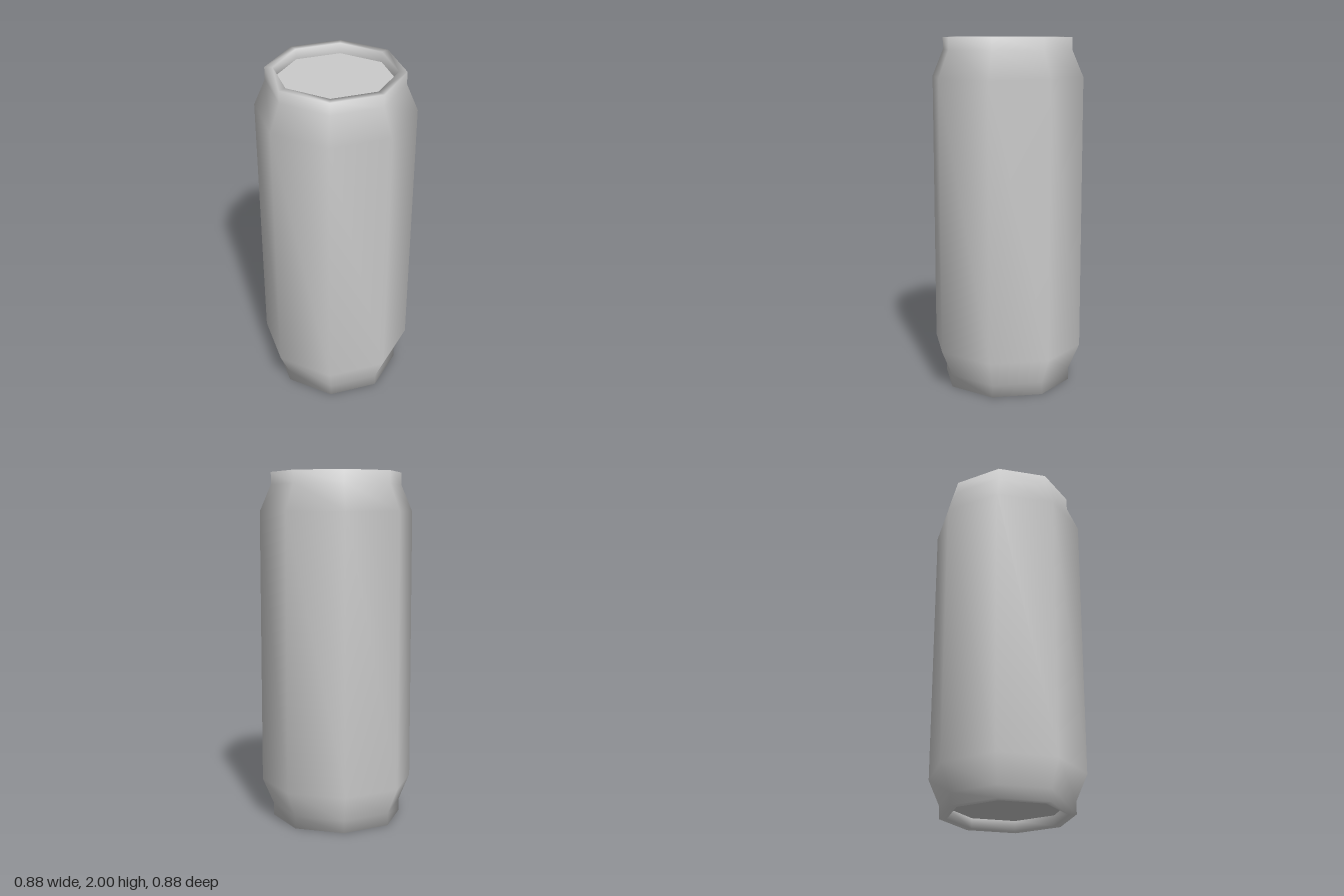
import * as THREE from 'three';
import { mergeVertices } from 'three/addons/utils/BufferGeometryUtils.js';

const SIDES = 8;
const HEIGHT = 2;
const RIM_INNER = 0.33;
const RECESS = 0.06;

export function createModel() {
  const group = new THREE.Group();
  group.name = 'can';
  const material = new THREE.MeshStandardMaterial({ color: 0xcccccc });

  // Lower half of the profile: recess wall, flat rim, neck, shoulder
  const lower = [
    [RIM_INNER, RECESS],
    [RIM_INNER, 0],
    [0.374, 0],
    [0.374, 0.07],
    [0.438, 0.22],
  ];
  const upper = lower.map(([r, y]) => [r, HEIGHT - y]).reverse();
  const profile = [...lower, ...upper].map(([r, y]) => new THREE.Vector2(r, y));

  // Weld the lathe seam so the normals are smooth all the way round
  let bodyGeometry = new THREE.LatheGeometry(profile, SIDES);
  bodyGeometry.deleteAttribute('normal');
  bodyGeometry.deleteAttribute('uv');
  bodyGeometry = mergeVertices(bodyGeometry, 1e-4);
  bodyGeometry.computeVertexNormals();
  const body = new THREE.Mesh(bodyGeometry, material);
  body.name = 'body';
  group.add(body);

  // Flat recessed panels closing both ends
  const addPanel = (name, y, tilt) => {
    const panel = new THREE.Mesh(new THREE.CircleGeometry(RIM_INNER, SIDES), material);
    panel.name = name;
    panel.rotation.x = tilt;
    panel.position.y = y;
    group.add(panel);
  };
  addPanel('lid', HEIGHT - RECESS, -Math.PI / 2);
  addPanel('base', RECESS, Math.PI / 2);

  return group;
}
